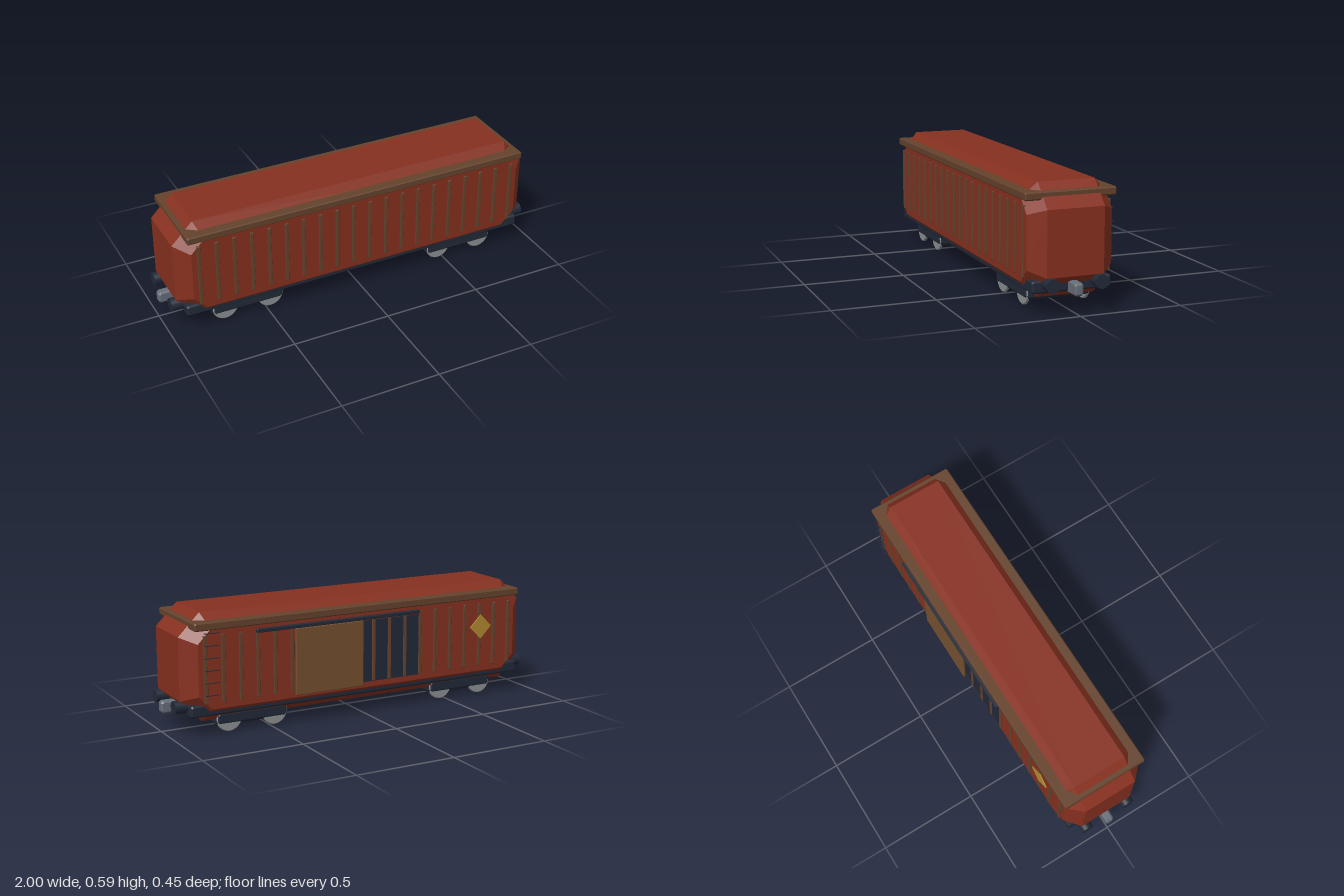
import * as THREE from 'three';

const mat = (color) => new THREE.MeshStandardMaterial({ color });
const rust = mat(0x86301f), brown = mat(0x64422c), tan = mat(0x74502f);
const dark = mat(0x222a38), steel = mat(0x666d78), iron = mat(0x8c8f92), yellow = mat(0xb08a30);

// Block with cut corners in the xy profile and a one-step bevel on both z faces
function block(w, h, d, corner, bevel) {
  const x = w / 2, y = h / 2, c = corner;
  const pts = [[x, -y + c], [x, y - c], [x - c, y], [-x + c, y], [-x, y - c], [-x, -y + c], [-x + c, -y], [x - c, -y]];
  const shape = new THREE.Shape(pts.map(([a, b]) => new THREE.Vector2(a, b)));
  const geo = new THREE.ExtrudeGeometry(shape, {
    depth: d - 2 * bevel, bevelThickness: bevel, bevelSize: bevel, bevelOffset: -bevel, bevelSegments: 1,
  });
  return geo.translate(0, 0, -d / 2 + bevel);
}

export function createModel() {
  const wagon = new THREE.Group();
  wagon.name = 'boxcar';
  const add = (name, geo, material, x, y, z) => {
    const mesh = new THREE.Mesh(geo, material);
    mesh.name = name;
    mesh.position.set(x, y, z);
    wagon.add(mesh);
    return mesh;
  };

  // Body, roof trim and underframe
  add('body', block(1.91, 0.523, 0.415, 0.108, 0.069), rust, 0, 0.3265, 0);
  add('roofTrim', block(1.81, 0.038, 0.444, 0.006, 0.005), brown, 0, 0.534, 0);
  add('underframe', block(1.84, 0.058, 0.387, 0.008, 0.008), dark, 0, 0.127, 0);

  // Side ribs
  const rib = block(0.018, 0.326, 0.014, 0.002, 0.002);
  for (const side of [-1, 1]) {
    for (let i = 0; i < 20; i++) {
      add('sideRib', rib, brown, -0.85 + i * (1.7 / 19), 0.327, side * 0.208);
    }
  }

  // Sliding door, its dark opening and the rail above, on the back
  add('doorOpening', new THREE.BoxGeometry(0.4, 0.31, 0.008), dark, -0.105, 0.317, -0.207);
  add('slidingDoor', block(0.37, 0.33, 0.013, 0.003, 0.003), tan, 0.205, 0.313, -0.2195);
  add('doorRail', block(0.895, 0.019, 0.017, 0.003, 0.003), dark, 0.147, 0.489, -0.2225);

  // Ladder rungs
  const rung = new THREE.CylinderGeometry(0.0022, 0.0022, 0.074, 8).rotateZ(Math.PI / 2);
  for (let i = 0; i < 6; i++) add('ladderRung', rung, dark, 0.826, 0.208 + i * 0.0592, -0.2295);

  // Diamond placard
  const placard = add('placard', new THREE.BoxGeometry(0.09, 0.09, 0.006), yellow, -0.675, 0.37, -0.2165);
  placard.rotation.z = Math.PI / 4;

  // Couplers and buffers at each end, bogies with four wheels each
  const coupler = block(0.1, 0.06, 0.042, 0.01, 0.008);
  const buffer = new THREE.CylinderGeometry(0.032, 0.032, 0.08, 32).rotateZ(Math.PI / 2);
  const bogie = block(0.375, 0.068, 0.325, 0.014, 0.014);
  const wheel = new THREE.LatheGeometry([[0, -0.0085], [0.061, -0.0085], [0.061, -0.0085], [0.065, -0.005],
    [0.065, -0.005], [0.065, 0.005], [0.065, 0.005], [0.061, 0.0085], [0.061, 0.0085], [0, 0.0085]]
    .map(([r, y]) => new THREE.Vector2(r, y)), 40).rotateX(Math.PI / 2);
  for (const end of [-1, 1]) {
    add('coupler', coupler, steel, end * 0.95, 0.12, 0);
    add('bogie', bogie, dark, end * 0.593, 0.067, 0);
    for (const side of [-1, 1]) {
      add('buffer', buffer, dark, end * 0.94, 0.142, side * 0.119);
      for (const dx of [-0.119, 0.119]) {
        add('wheel', wheel, iron, end * 0.593 + dx, 0.065, side * 0.149);
      }
    }
  }

  // Centre the asymmetric depth
  for (const part of wagon.children) part.position.z += 0.006;
  return wagon;
}
